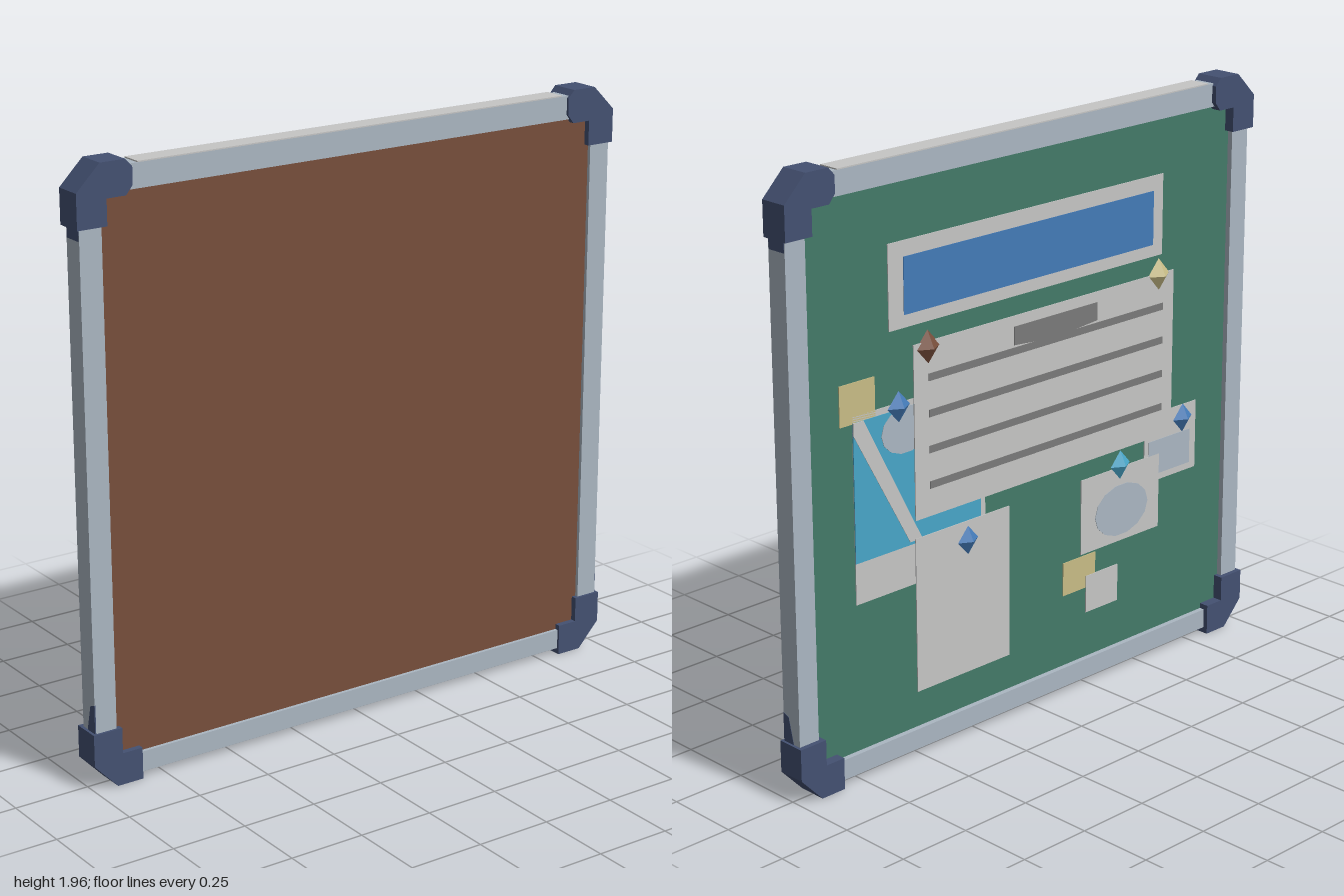
import * as THREE from 'three';

const mat = (name, color) => {
  const m = new THREE.MeshStandardMaterial({ color });
  m.name = name;
  return m;
};

export function createModel() {
  const navy = mat('navy plastic', 0x445172);
  const metal = mat('blue grey metal', 0xabb7c2);
  const brown = mat('brown backing', 0x784f3c);
  const green = mat('green felt', 0x447a68);
  const paper = mat('light grey paper', 0xc6c6c5);
  const teal = mat('teal print', 0x48a6c8);
  const blue = mat('blue print', 0x447bb8);
  const yellow = mat('yellow note', 0xc8bc86);
  const ink = mat('grey ink', 0x7a7a7a);

  const model = new THREE.Group();
  model.name = 'noticeBoard';

  const add = (name, geo, material, parent = model) => {
    const m = new THREE.Mesh(geo, material);
    m.name = name;
    parent.add(m);
    return m;
  };
  const group = (name) => {
    const g = new THREE.Group();
    g.name = name;
    model.add(g);
    return g;
  };
  // Box from its minimum and maximum corners
  const box = (name, material, x0, x1, y0, y1, z0, z1, parent) =>
    add(name, new THREE.BoxGeometry(x1 - x0, y1 - y0, z1 - z0)
      .translate((x0 + x1) / 2, (y0 + y1) / 2, (z0 + z1) / 2), material, parent);
  const extrude = (pts, depth) => new THREE.ExtrudeGeometry(
    new THREE.Shape(pts.map(([a, b]) => new THREE.Vector2(a, b))),
    { depth, bevelEnabled: false });
  // Outline in (z, y), extruded from x towards -x
  const slab = (pts, x, depth) => extrude(pts, depth).rotateY(-Math.PI / 2).translate(x, 0, 0);
  // Thin sheets on the felt; higher layers lie further out
  const sheet = (name, material, layer, pts, parent) =>
    add(name, slab(pts, -0.011 - 0.0018 * layer, 0.003), material, parent);
  const rect = (z0, z1, y0, y1) => [[z0, y0], [z1, y0], [z1, y1], [z0, y1]];
  const oval = (z, y, rz, ry, n = 14) => Array.from({ length: n }, (_, i) => {
    const a = (i / n) * Math.PI * 2;
    return [z + rz * Math.cos(a), y + ry * Math.sin(a)];
  });

  // Panel with felt on one side and a backing on the other
  box('feltPanel', green, -0.012, 0.01, 0.05, 1.9, -0.95, 0.95);
  box('backingPanel', brown, 0.01, 0.03, 0.05, 1.9, -0.95, 0.95);

  // Frame rails
  const frame = group('frame');
  box('bottomRail', metal, -0.03, 0.042, 0.02, 0.087, -0.9, 0.9, frame);
  box('topRail', metal, -0.03, 0.042, 1.865, 1.942, -0.9, 0.9, frame);
  box('topRailStrip', paper, -0.03, 0.042, 1.942, 1.946, -0.79, 0.79, frame);
  for (const s of [-1, 1]) {
    const [a, b] = [0.915 * s, 0.99 * s].sort((p, q) => p - q);
    box('sideRail', metal, -0.03, 0.042, 0.08, 1.88, a, b, frame);
  }

  // Chamfered corner caps
  const corners = group('cornerCaps');
  const low = [[1, 0.19], [1, 0.085], [0.92, 0], [0.83, 0], [0.83, 0.105], [0.9, 0.105], [0.9, 0.19]];
  const high = [[1, 1.77], [1, 1.88], [0.92, 1.96], [0.835, 1.96], [0.812, 1.935],
    [0.812, 1.88], [0.835, 1.852], [0.9, 1.852], [0.9, 1.77]];
  for (const s of [-1, 1]) {
    for (const outline of [low, high]) {
      add('cornerCap', slab(outline.map(([z, y]) => [z * s, y]), 0.05, 0.096), navy, corners);
    }
    // Tongues gripping the side rails
    const tongue = [[-0.005, 0.18], [0.042, 0.18], [0.042, 0.285], [0.018, 0.275]];
    add('lowerTongue', extrude(tongue, 0.004).translate(0, 0, 0.989 * s - 0.002), navy, corners);
    box('upperTongue', navy, -0.028, 0.04, 1.735, 1.78, 0.989 * s - 0.002, 0.989 * s + 0.002, corners);
  }

  // Banner
  const banner = group('banner');
  sheet('bannerPaper', paper, 1, rect(-0.59, 0.6, 1.41, 1.68), banner);
  sheet('bannerPrint', blue, 2, rect(-0.53, 0.555, 1.45, 1.63), banner);

  // Large written notice
  const notice = group('notice');
  sheet('noticePaper', paper, 5, rect(-0.5, 0.65, 0.785, 1.35), notice);
  const title = rect(-0.08, 0.29, 1.255, 1.315);
  title.splice(1, 0, [0.1, 1.24]);
  sheet('noticeTitle', ink, 6, title, notice);
  for (let i = 0; i < 4; i++) {
    const y = 1.235 - i * 0.116;
    sheet('noticeLine', ink, 6, rect(-0.44, 0.6, y - 0.012, y + 0.012), notice);
  }

  // Photo with a teal scene
  const photo = group('photo');
  sheet('photoPaper', paper, 1, rect(-0.74, -0.2, 0.575, 1.18), photo);
  sheet('photoScene', teal, 2, rect(-0.74, -0.22, 0.71, 1.16), photo);
  sheet('photoStripe', paper, 3, [[-0.74, 1.12], [-0.52, 0.72], [-0.47, 0.72], [-0.7, 1.16], [-0.74, 1.16]], photo);
  sheet('photoCloud', metal, 3, oval(-0.53, 1.09, 0.1, 0.075), photo);

  // Smaller papers and notes
  const notes = group('notes');
  sheet('tallPaper', paper, 4, rect(-0.5, -0.1, 0.21, 0.725), notes);
  sheet('yellowNote', yellow, 1, rect(-0.79, -0.65, 1.157, 1.286), notes);
  sheet('picturePaper', paper, 2, rect(0.23, 0.6, 0.46, 0.72), notes);
  sheet('pictureShape', metal, 3, oval(0.42, 0.57, 0.125, 0.09), notes);
  sheet('sidePaper', paper, 1, rect(0.53, 0.78, 0.627, 0.865), notes);
  sheet('sidePrint', metal, 2, rect(0.55, 0.75, 0.65, 0.77), notes);
  sheet('lowerYellowNote', yellow, 1, rect(0.15, 0.3, 0.337, 0.452), notes);
  sheet('smallPaper', paper, 2, rect(0.255, 0.405, 0.248, 0.378), notes);

  // Diamond push pins: z, y, radius, reach, colour
  const pins = group('pins');
  for (const [z, y, r, reach, m] of [
    [-0.44, 1.33, 0.056, 0.03, brown], [0.58, 1.345, 0.056, 0.032, yellow],
    [-0.56, 1.17, 0.05, 0.026, blue], [-0.28, 0.66, 0.05, 0.026, blue],
    [0.41, 0.73, 0.05, 0.026, teal], [0.71, 0.82, 0.05, 0.026, blue],
  ]) {
    add('pin', new THREE.OctahedronGeometry(1).scale(reach, r, r * 0.9).translate(-0.02, y, z), m, pins);
  }

  return model;
}
